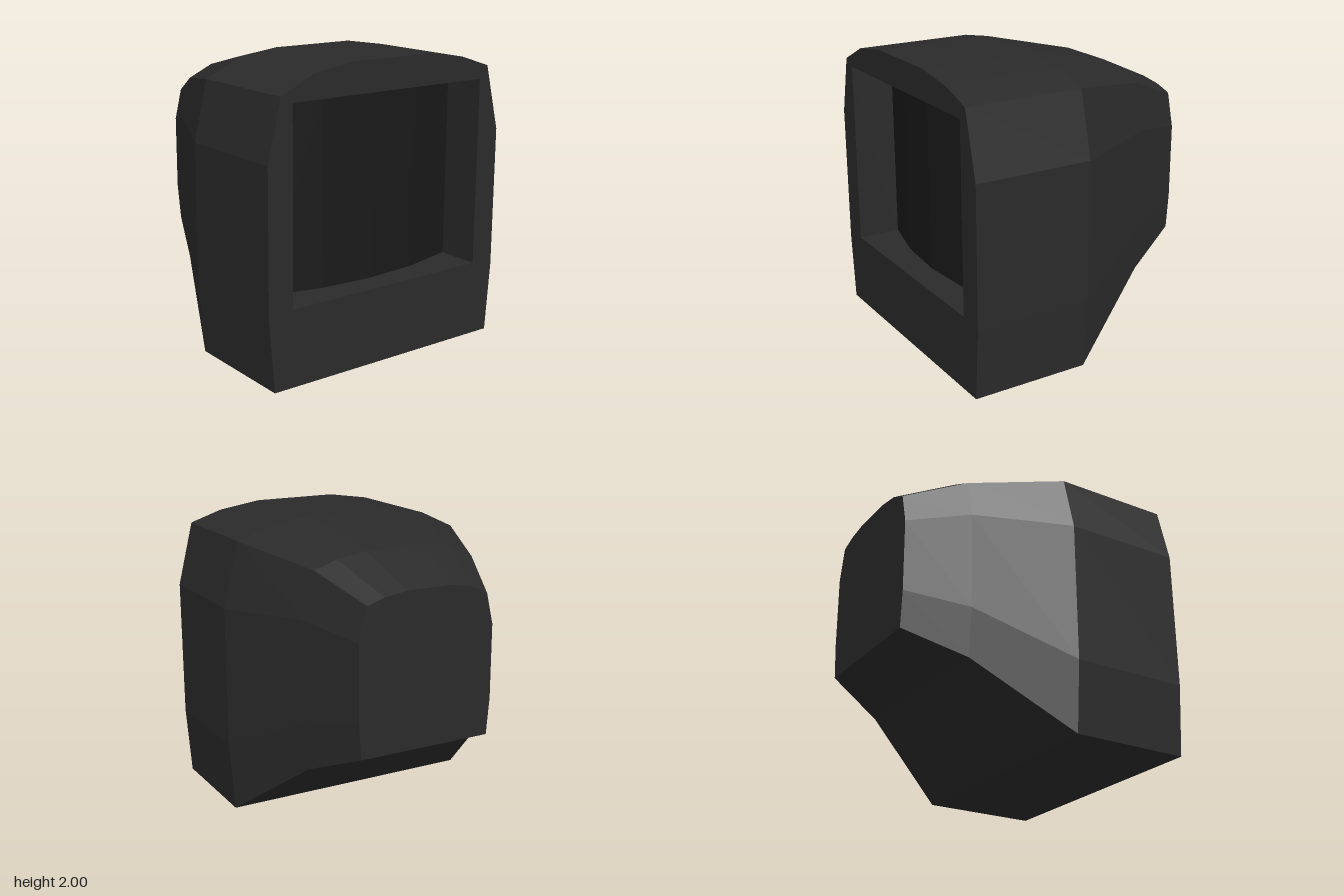
import * as THREE from 'three';

const FRONT = 0.92;
const shellMat = new THREE.MeshStandardMaterial({ color: 0x2a2a2a, flatShading: true });
const screenMat = new THREE.MeshStandardMaterial({ color: 0x191919, flatShading: true });

// Cabinet cross-section, anticlockwise seen from the front
const outline = [
  [-0.9, 0], [0.905, 0], [0.94, 0.48], [0.94, 1.44], [0.83, 1.88], [0.6, 1.955],
  [0.3, 2], [-0.3, 2], [-0.6, 1.955], [-0.845, 1.84], [-0.94, 1.44], [-0.94, 0.48],
];

// Screen opening, clockwise so its walls face inward
const opening = [[-0.76, 0.515], [-0.76, 1.795], [0.765, 1.795], [0.765, 0.515]];

// Joins closed rings of [x, y, z] points, ordered front to back
function loft(rings) {
  const pos = [];
  for (let r = 0; r < rings.length - 1; r++) {
    const n = rings[r].length;
    for (let i = 0; i < n; i++) {
      const j = (i + 1) % n;
      const a = rings[r][i], b = rings[r][j], c = rings[r + 1][j], d = rings[r + 1][i];
      pos.push(...a, ...d, ...b, ...b, ...d, ...c);
    }
  }
  const geo = new THREE.BufferGeometry();
  geo.setAttribute('position', new THREE.Float32BufferAttribute(pos, 3));
  geo.computeVertexNormals();
  return geo;
}

const vectors = (points) => points.map(([x, y]) => new THREE.Vector2(x, y));

export function createModel() {
  const group = new THREE.Group();
  const add = (name, geo, mat) => {
    const mesh = new THREE.Mesh(geo, mat);
    mesh.name = name;
    group.add(mesh);
  };

  // Cabinet: straight front half, tapering towards the back
  const sections = [
    { z: FRONT, width: 1, bottom: 0, top: 2 },
    { z: 0.1, width: 1, bottom: 0, top: 2 },
    { z: -0.52, width: 0.71, bottom: 0.46, top: 1.86 },
    { z: -0.92, width: 0.527, bottom: 0.63, top: 1.68 },
  ];
  const rings = sections.map(({ z, width, bottom, top }) =>
    outline.map(([x, y]) => [x * width, bottom + y * (top - bottom) / 2, z]));
  add('cabinet', loft(rings), shellMat);

  // Front bezel with the screen opening
  const bezel = new THREE.Shape(vectors(outline));
  bezel.holes.push(new THREE.Path(vectors(opening)));
  add('bezel', new THREE.ShapeGeometry(bezel).translate(0, 0, FRONT), shellMat);

  // Back panel, mirrored then turned to face backward
  const back = new THREE.Shape(vectors(rings[3].map(([x, y]) => [-x, y])));
  add('backPanel', new THREE.ShapeGeometry(back).rotateY(Math.PI).translate(0, 0, -0.92), shellMat);

  // Walls of the screen recess
  const recess = [FRONT, FRONT - 0.3].map((z) => opening.map(([x, y]) => [x, y, z]));
  add('screenRecess', loft(recess), shellMat);

  // Screen bulging forward across its width
  const screen = new THREE.PlaneGeometry(1.525, 1.28, 4, 1);
  const p = screen.attributes.position;
  for (let i = 0; i < p.count; i++) {
    p.setZ(i, -0.18 - 0.12 * (p.getX(i) / 0.7625) ** 2);
  }
  screen.translate(0.0025, 1.155, FRONT);
  screen.computeVertexNormals();
  add('screen', screen, screenMat);

  return group;
}
